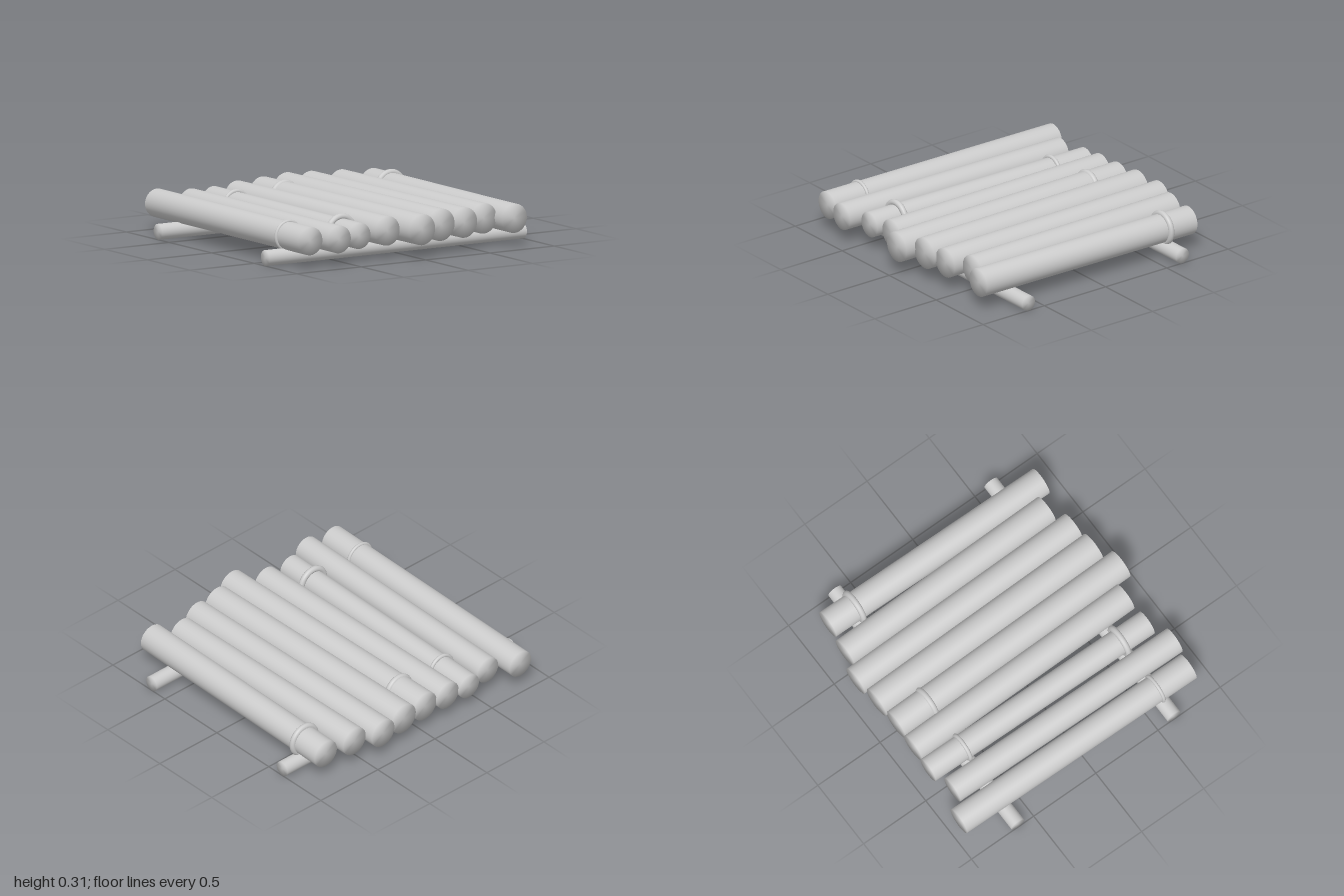
import * as THREE from 'three';
import { mergeVertices } from 'three/addons/utils/BufferGeometryUtils.js';

const material = new THREE.MeshStandardMaterial({ color: 0xcccccc });
const UP = new THREE.Vector3(0, 1, 0);
const FORWARD = new THREE.Vector3(0, 0, 1);
const LOG_BOTTOM = 0.088;
const BEAM_RADIUS = 0.052;

// Closed cylinder between two points, with normals smoothed over the rims
function makePole(name, a, b, radius) {
  let geo = new THREE.CylinderGeometry(radius, radius, a.distanceTo(b), 32);
  geo.deleteAttribute('uv');
  geo.deleteAttribute('normal');
  geo = mergeVertices(geo);
  geo.computeVertexNormals();
  const mesh = new THREE.Mesh(geo, material);
  mesh.name = name;
  mesh.position.copy(a).lerp(b, 0.5);
  mesh.quaternion.setFromUnitVectors(UP, b.clone().sub(a).normalize());
  return mesh;
}

// Each log: radius, back end x and z, front end x and z, binding rings as [z, tube radius, outer radius]
const LOGS = [
  { r: 0.093, back: [-0.794, -0.95], front: [-0.816, 0.88], rings: [[0.618, 0.012, 0.106]] },
  { r: 0.091, back: [-0.594, -0.855], front: [-0.616, 0.915], rings: [] },
  { r: 0.086, back: [-0.39, -0.9], front: [-0.412, 0.845], rings: [[-0.628, 0.014, 0.104], [0.626, 0.021, 0.118]] },
  { r: 0.097, back: [-0.212, -0.89], front: [-0.188, 0.835], rings: [] },
  { r: 0.102, back: [-0.018, -0.885], front: [0.01, 0.945], rings: [[-0.633, 0.021, 0.115]] },
  { r: 0.106, back: [0.178, -0.897], front: [0.207, 0.87], rings: [] },
  { r: 0.1, back: [0.378, -0.917], front: [0.401, 0.85], rings: [] },
  { r: 0.1, back: [0.576, -0.858], front: [0.598, 0.78], rings: [] },
  { r: 0.096, back: [0.801, -0.83], front: [0.778, 0.868], rings: [[-0.617, 0.021, 0.119]] },
];

export function createModel() {
  const raft = new THREE.Group();
  raft.name = 'logRaft';

  // Two cross beams carry the deck
  for (const [name, z] of [['backBeam', -0.628], ['frontBeam', 0.628]]) {
    raft.add(makePole(name,
      new THREE.Vector3(-1, BEAM_RADIUS, z), new THREE.Vector3(1, BEAM_RADIUS, z), BEAM_RADIUS));
  }

  // Deck logs, slightly skewed, all resting at the same height
  LOGS.forEach(({ r, back, front, rings }, i) => {
    const y = LOG_BOTTOM + r;
    const a = new THREE.Vector3(back[0], y, back[1]);
    const b = new THREE.Vector3(front[0], y, front[1]);
    raft.add(makePole(`deckLog${i + 1}`, a, b, r));

    // Rope rings around the log above a beam
    for (const [z, tube, outer] of rings) {
      const ring = new THREE.Mesh(new THREE.TorusGeometry(outer - tube, tube, 12, 40), material);
      ring.name = `ropeRing${i + 1}${z < 0 ? 'Back' : 'Front'}`;
      ring.position.copy(a).lerp(b, (z - a.z) / (b.z - a.z));
      ring.quaternion.setFromUnitVectors(FORWARD, b.clone().sub(a).normalize());
      raft.add(ring);
    }
  });
  return raft;
}
